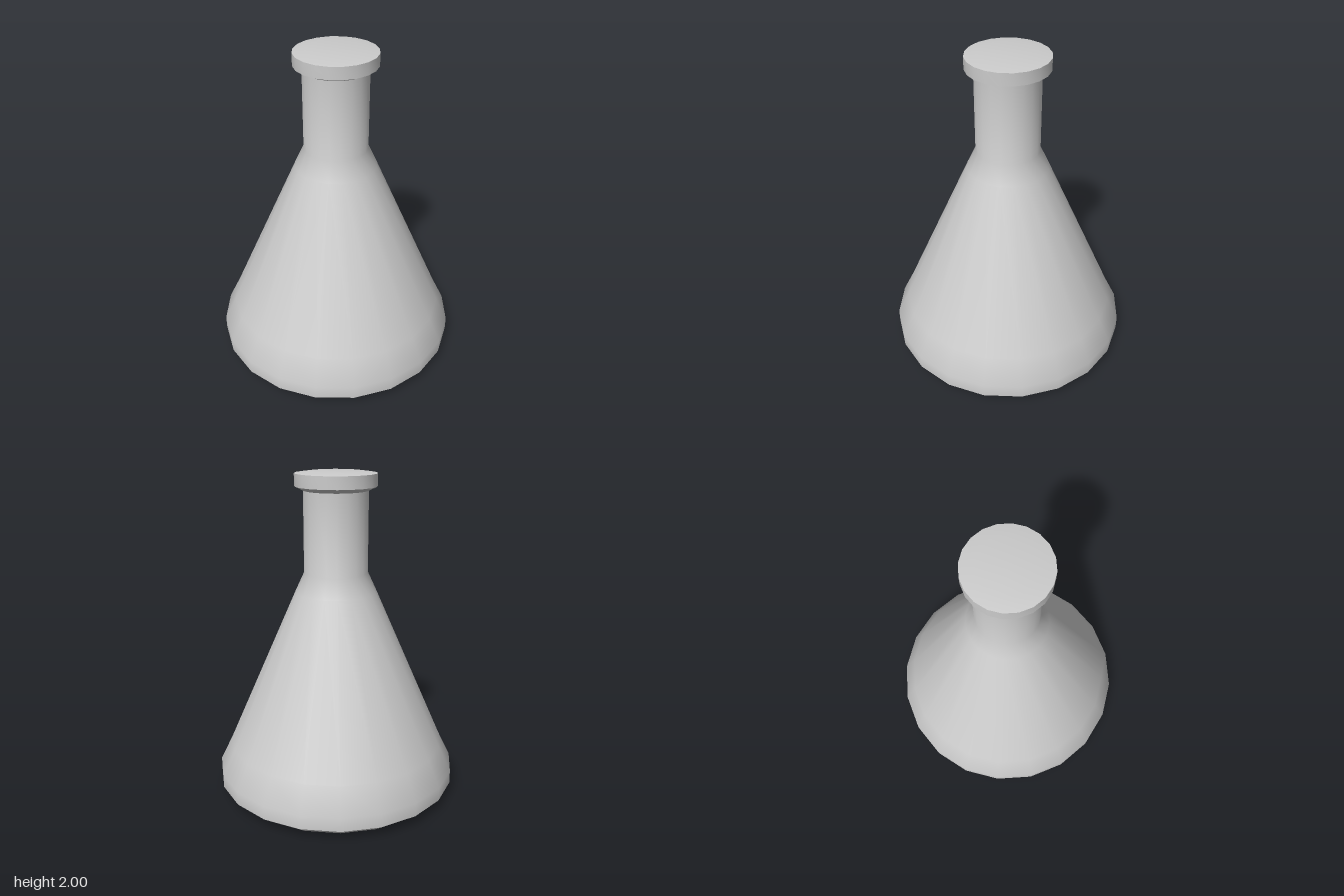
import * as THREE from 'three';
import { toCreasedNormals } from 'three/addons/utils/BufferGeometryUtils.js';

const SIDES = 20;
const CREASE = 0.6; // keeps bevels sharp, smooths the wall and neck

// Turn a [radius, height] profile, listed bottom to top, around the y axis
function turned(name, profile, material) {
  const points = profile.map(([r, y]) => new THREE.Vector2(r, y));
  const geometry = toCreasedNormals(new THREE.LatheGeometry(points, SIDES), CREASE);
  const mesh = new THREE.Mesh(geometry, material);
  mesh.name = name;
  return mesh;
}

export function createModel() {
  const group = new THREE.Group();
  group.name = 'conicalFlask';
  const material = new THREE.MeshStandardMaterial({ color: 0xcccccc });

  // Flat base, bevel, short upright wall, cone and neck
  group.add(turned('flaskBody', [
    [0, 0], [0.67, 0], [0.755, 0.065], [0.755, 0.15],
    [0.677, 0.31], [0.25, 1.28], [0.195, 1.4], [0.195, 1.89],
  ], material));

  // Closed lip with a bevelled underside and a barely domed top
  group.add(turned('neckLip', [
    [0.195, 1.89], [0.247, 1.915], [0.247, 1.99], [0.17, 2], [0, 2],
  ], material));

  return group;
}
